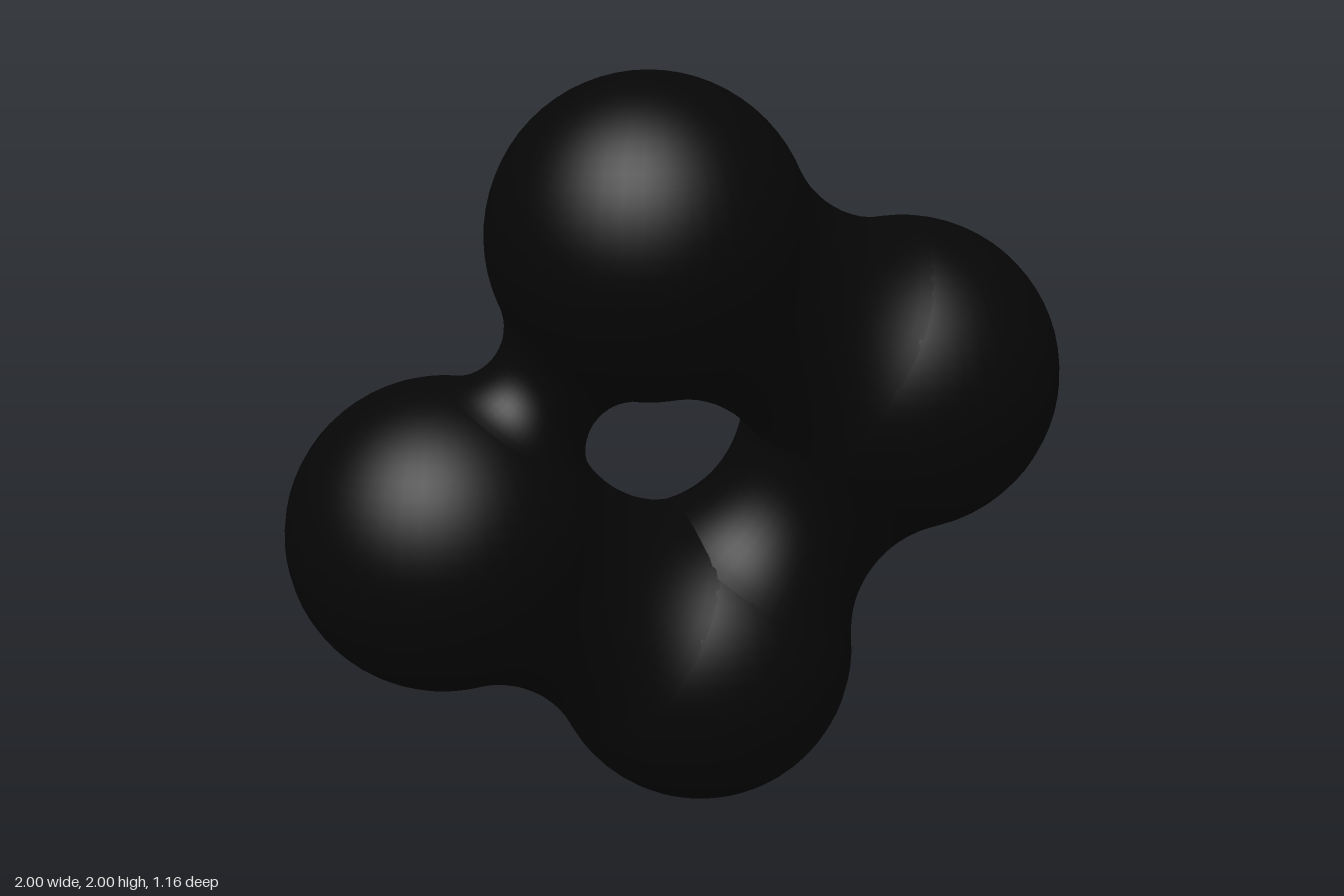
import * as THREE from 'three';

// Four balls in a staggered ring: centre, radius, and the radius of the
// concave blend into the next ball (a larger blend gives a thicker neck)
const BALLS = [
  { name: 'topBall', at: [-0.08, 1.6, 0.18], r: 0.4, blend: 0.4 },
  { name: 'rightBall', at: [0.58, 1.195, -0.16], r: 0.42, blend: 0.32 },
  { name: 'bottomBall', at: [0.05, 0.42, -0.16], r: 0.42, blend: 0.4 },
  { name: 'leftBall', at: [-0.6, 0.85, 0.175], r: 0.4, blend: 0.14 },
];

// Hourglass neck whose concave arc is tangent to both balls
function makeNeck(a, b, material) {
  const start = new THREE.Vector3(...a.at);
  const axis = new THREE.Vector3(...b.at).sub(start);
  const length = axis.length();
  const ra = a.r + a.blend, rb = b.r + a.blend;
  const t = (length ** 2 + ra ** 2 - rb ** 2) / (2 * length);
  const h = Math.sqrt(ra ** 2 - t ** 2);
  const from = Math.atan2(t, h), to = -Math.atan2(length - t, h);

  const profile = [];
  for (let i = 0; i <= 16; i++) {
    const angle = THREE.MathUtils.lerp(from, to, i / 16);
    profile.push(new THREE.Vector2(h - a.blend * Math.cos(angle), t - a.blend * Math.sin(angle)));
  }
  const neck = new THREE.Mesh(new THREE.LatheGeometry(profile, 48), material);
  neck.position.copy(start);
  neck.quaternion.setFromUnitVectors(new THREE.Vector3(0, 1, 0), axis.normalize());
  return neck;
}

export function createModel() {
  const model = new THREE.Group();
  model.name = 'ballRing';
  const material = new THREE.MeshStandardMaterial({ color: 0x060606 });

  BALLS.forEach((ball, i) => {
    const mesh = new THREE.Mesh(new THREE.SphereGeometry(ball.r, 48, 32), material);
    mesh.name = ball.name;
    mesh.position.set(...ball.at);
    model.add(mesh);

    // Blend into the next ball around the ring
    const neck = makeNeck(ball, BALLS[(i + 1) % BALLS.length], material);
    neck.name = ball.name + 'Neck';
    model.add(neck);
  });
  return model;
}
